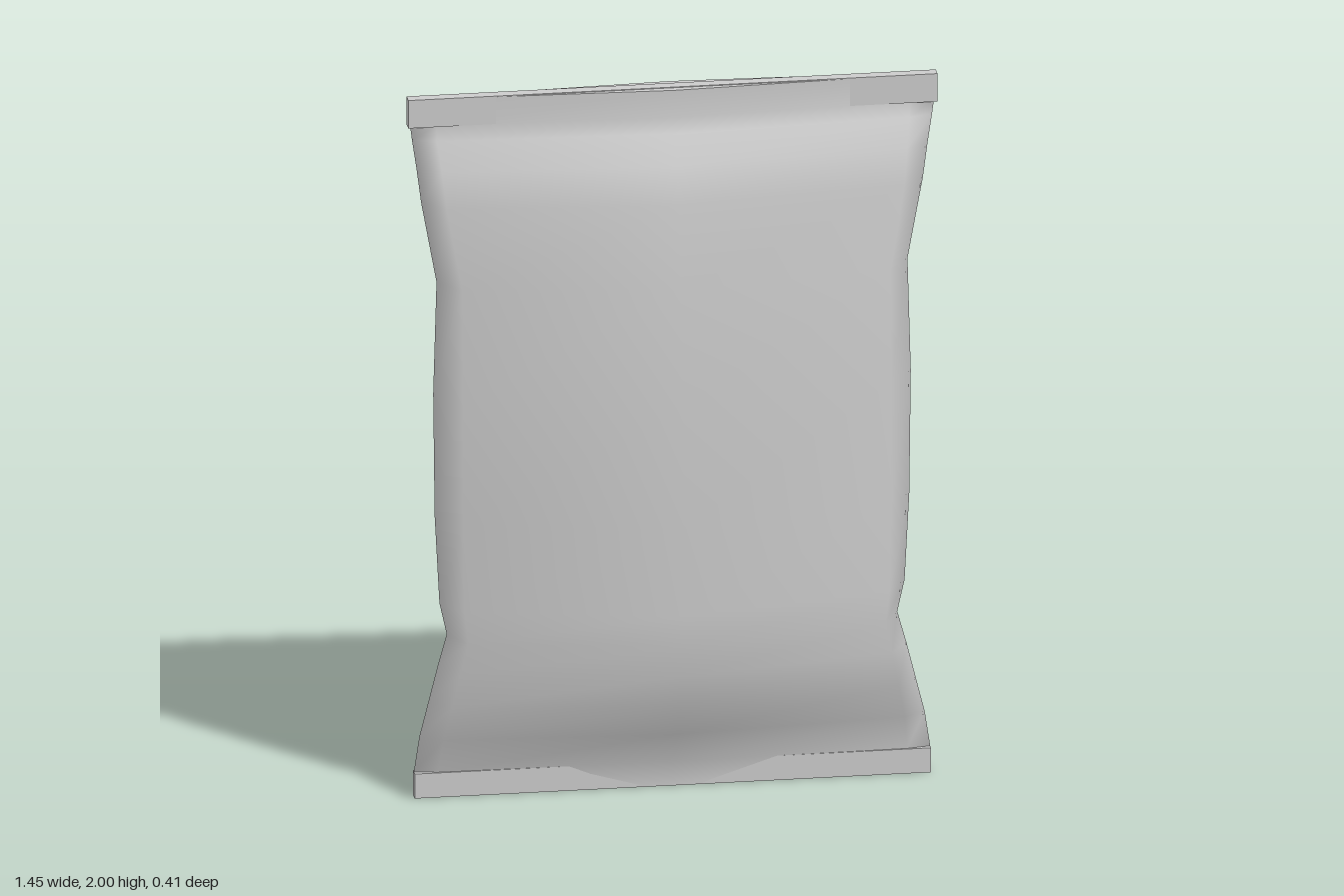
import * as THREE from 'three';

const material = new THREE.MeshStandardMaterial({ color: 0xcccccc });

// Pouch cross-sections: [y, half width, shoulder x, shoulder z, centre z]
const SECTIONS = [
  [0.002, 0.69, 0.62, 0.01, 0.018],
  [0.07, 0.705, 0.64, 0.012, 0.021],
  [0.17, 0.69, 0.63, 0.038, 0.085],
  [0.27, 0.665, 0.61, 0.065, 0.15],
  [0.37, 0.64, 0.59, 0.08, 0.18],
  [0.46, 0.615, 0.57, 0.09, 0.197],
  [0.55, 0.635, 0.58, 0.092, 0.205],
  [0.8, 0.648, 0.585, 0.092, 0.205],
  [1.15, 0.652, 0.585, 0.092, 0.205],
  [1.47, 0.643, 0.585, 0.082, 0.163],
  [1.7, 0.685, 0.625, 0.065, 0.133],
  [1.8, 0.698, 0.635, 0.048, 0.094],
  [1.88, 0.71, 0.645, 0.02, 0.055],
  [1.92, 0.715, 0.645, 0.01, 0.038],
  [1.998, 0.71, 0.645, 0.01, 0.038],
];

// One closed ring, running from +x towards +z
function ring([y, w, sx, sz, cz]) {
  return [
    [w, y, 0], [sx, y, sz], [0, y, cz], [-sx, y, sz],
    [-w, y, 0], [-sx, y, -sz], [0, y, -cz], [sx, y, -sz],
  ];
}

function pouchGeometry() {
  const n = 8;
  const positions = SECTIONS.flatMap((s) => ring(s).flat());
  const index = [];
  for (let i = 0; i < SECTIONS.length - 1; i++) {
    for (let j = 0; j < n; j++) {
      const a = i * n + j, b = i * n + ((j + 1) % n);
      index.push(a, a + n, b, b, a + n, b + n);
    }
  }
  // Flat caps with their own vertices, so their edges stay sharp
  for (const [section, up] of [[SECTIONS[0], false], [SECTIONS.at(-1), true]]) {
    const base = positions.length / 3;
    positions.push(0, section[0], 0, ...ring(section).flat());
    for (let j = 0; j < n; j++) {
      const a = base + 1 + j, b = base + 1 + ((j + 1) % n);
      index.push(base, ...(up ? [b, a] : [a, b]));
    }
  }
  const geometry = new THREE.BufferGeometry();
  geometry.setAttribute('position', new THREE.Float32BufferAttribute(positions, 3));
  geometry.setIndex(index);
  geometry.computeVertexNormals();
  return geometry;
}

// Flat pressed strip closing one end of the pouch
function seal(name, width, bottom, top) {
  const mesh = new THREE.Mesh(new THREE.BoxGeometry(width, top - bottom, 0.034), material);
  mesh.position.y = (bottom + top) / 2;
  mesh.name = name;
  return mesh;
}

export function createModel() {
  const group = new THREE.Group();
  group.name = 'snackBag';

  const pouch = new THREE.Mesh(pouchGeometry(), material);
  pouch.name = 'pouch';

  group.add(
    pouch,
    seal('topSeal', 1.445, 1.92, 2),
    seal('bottomSeal', 1.41, 0, 0.07),
  );
  return group;
}
